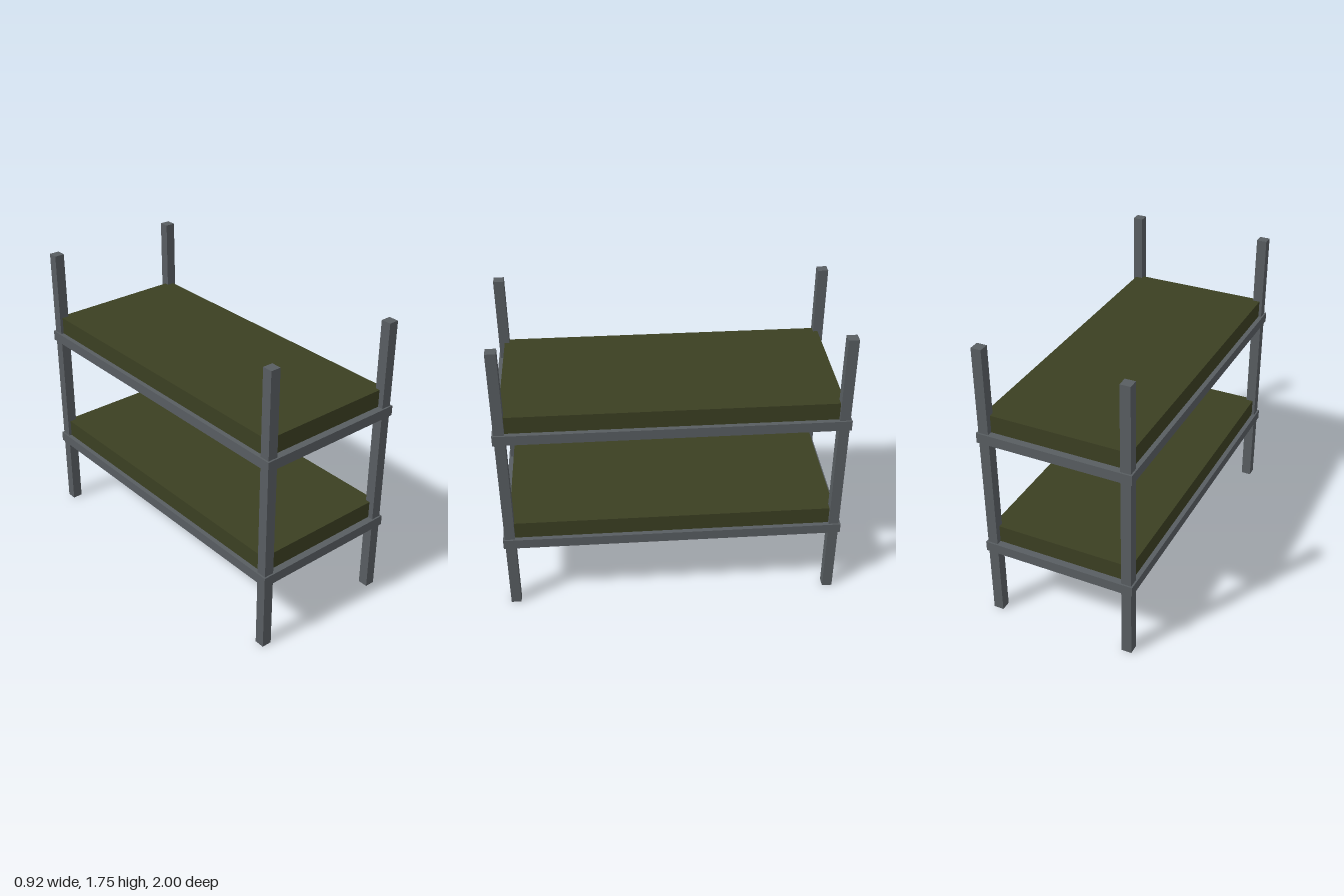
import * as THREE from 'three';

export function createModel() {
  const model = new THREE.Group();
  model.name = 'bunkBed';

  const steel = new THREE.MeshStandardMaterial({ color: 0x585d61 });
  steel.name = 'grey steel';
  const olive = new THREE.MeshStandardMaterial({ color: 0x3b3f22 });
  olive.name = 'olive fabric';

  // Box standing on height y
  function box(name, material, [w, h, d], [x, y, z]) {
    const mesh = new THREE.Mesh(new THREE.BoxGeometry(w, h, d), material);
    mesh.name = name;
    mesh.position.set(x, y + h / 2, z);
    model.add(mesh);
  }

  // Corner posts
  for (const [side, x] of [['Left', 0.42], ['Right', -0.42]]) {
    for (const [end, z] of [['front', 0.96], ['back', -0.96]]) {
      box(`${end}${side}Post`, steel, [0.06, 1.745, 0.06], [x, 0, z]);
    }
  }

  // Two bunks: a solid frame deck with a mattress on it
  for (const [level, y] of [['lower', 0.433], ['upper', 1.172]]) {
    box(`${level}Frame`, steel, [0.92, 0.06, 2], [0, y, 0]);
    box(`${level}Mattress`, olive, [0.865, 0.104, 1.915], [0, y + 0.06, 0]);
  }

  return model;
}
